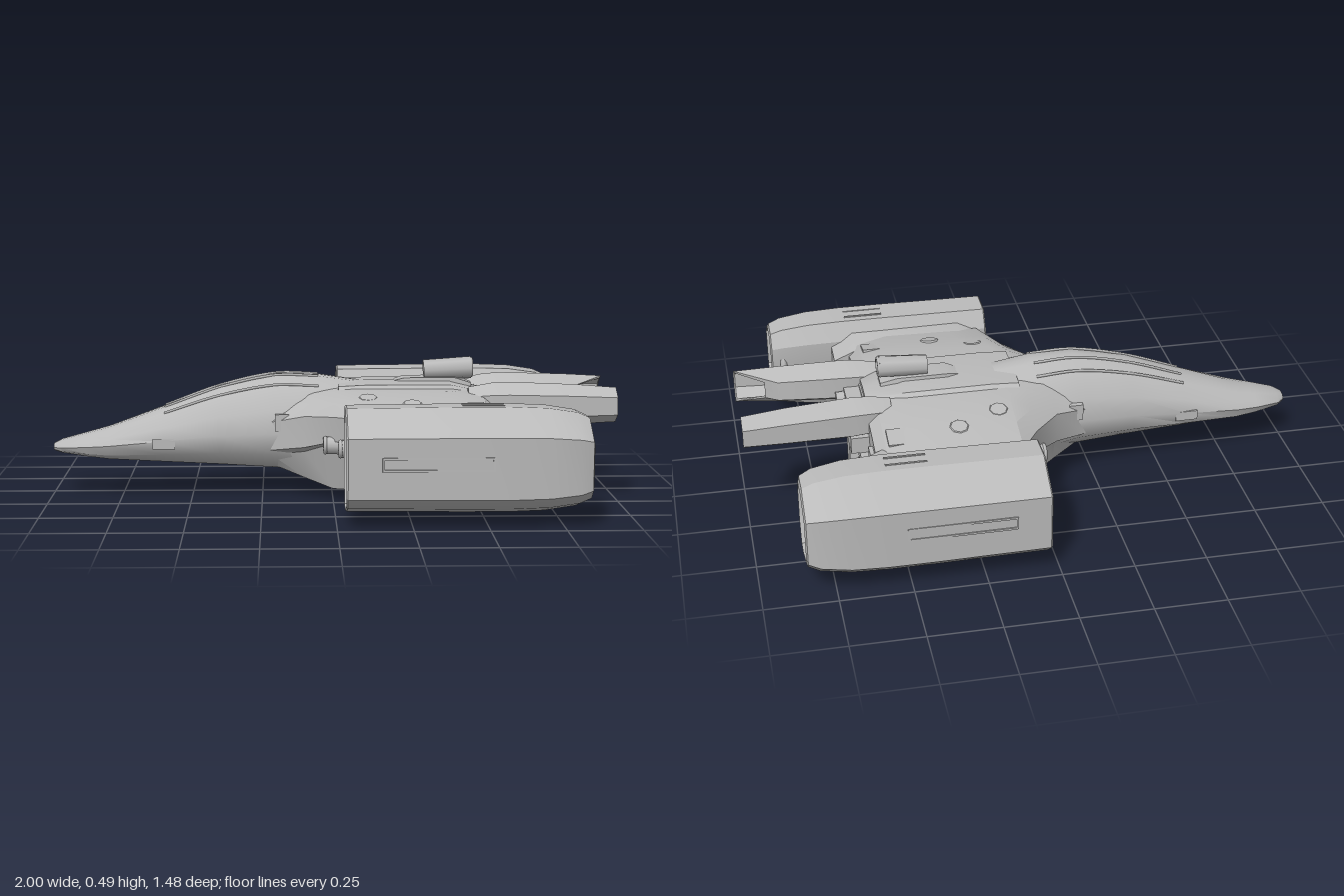
import * as THREE from 'three';
import { toCreasedNormals } from 'three/addons/utils/BufferGeometryUtils.js';

const hullGrey = new THREE.MeshStandardMaterial({ color: 0xbababa, side: THREE.DoubleSide });
hullGrey.name = 'hull grey';

// Skin rings of [x, y, z] points with closed ends; rings run bottom, +z, top, -z
function loft(rings, crease = 0.55) {
  const pos = [], n = rings[0].length;
  const tri = (...p) => p.forEach(v => pos.push(...v));
  for (let i = 0; i < rings.length - 1; i++) {
    for (let j = 0; j < n; j++) {
      const k = (j + 1) % n, a = rings[i], b = rings[i + 1];
      tri(a[j], b[j], a[k]);
      tri(b[j], b[k], a[k]);
    }
  }
  const middle = r => [0, 1, 2].map(c => r.reduce((s, p) => s + p[c], 0) / n);
  const first = rings[0], last = rings[rings.length - 1], m0 = middle(first), m1 = middle(last);
  for (let j = 0; j < n; j++) {
    const k = (j + 1) % n;
    tri(m0, first[j], first[k]);
    tri(m1, last[k], last[j]);
  }
  const g = new THREE.BufferGeometry();
  g.setAttribute('position', new THREE.Float32BufferAttribute(pos, 3));
  return toCreasedNormals(g, crease);
}

const flip = rings => rings.map(r => r.map(([x, y, z]) => [x, y, -z]).reverse());

// Half profile of [z, y] from bottom centre to top centre, mirrored to a full ring
function mirrored(x, half) {
  const side = half.map(([z, y]) => [x, y, z]);
  return [...side, ...side.slice(1, -1).reverse().map(([a, y, z]) => [a, y, -z])];
}

export function createModel() {
  const ship = new THREE.Group();
  ship.name = 'spaceship';
  const add = (name, geo, x = 0, y = 0, z = 0) => {
    const m = new THREE.Mesh(geo, hullGrey);
    m.name = name;
    m.position.set(x, y, z);
    ship.add(m);
    return m;
  };
  const box = (name, x, y, z, w, h, d) => add(name, new THREE.BoxGeometry(w, h, d), x, y, z);
  // Cylinder lying along x, r0 at the tail end and r1 at the nose end
  const rod = (name, x, y, z, r0, r1, len, sides = 14) =>
    add(name, new THREE.CylinderGeometry(r1, r0, len, sides).rotateZ(Math.PI / 2), x, y, z);
  const ring = (name, x, y, z, r, t) =>
    add(name, new THREE.TorusGeometry(r, t, 6, 20).rotateY(Math.PI / 2), x, y, z);

  // Fuselage: x, half width, bottom, widest height, top
  const stations = [
    [-1, 0.03, 0.153, 0.165, 0.178], [-0.97, 0.062, 0.145, 0.168, 0.192],
    [-0.88, 0.09, 0.132, 0.174, 0.216], [-0.8, 0.105, 0.122, 0.18, 0.238],
    [-0.6, 0.125, 0.11, 0.2, 0.312], [-0.4, 0.138, 0.098, 0.22, 0.385],
    [-0.2, 0.155, 0.085, 0.23, 0.428], [-0.05, 0.17, 0.06, 0.23, 0.424],
    [0.08, 0.15, 0.05, 0.23, 0.405], [0.3, 0.1, 0.05, 0.23, 0.38],
  ];
  add('fuselage', loft(stations.map(([x, w, b, m, t]) => mirrored(x, [
    [0, b], [0.5 * w, b + 0.04 * (t - b)], [0.88 * w, b + 0.2 * (t - b)], [w, m],
    [0.86 * w, m + 0.4 * (t - m)], [0.52 * w, m + 0.84 * (t - m)], [0.22 * w, t - 0.01 * (t - m)], [0, t],
  ])), 0.7));

  // Canopy frame rails following the hull, side ports
  for (const s of [-1, 1]) {
    for (const [u, v] of [[0.52, 0.84], [0.22, 0.99]]) {
      const pts = stations.slice(4, 8).map(([x, w, , m, t]) =>
        new THREE.Vector3(x, m + v * (t - m), s * u * w));
      add('canopyRail', new THREE.TubeGeometry(new THREE.CatmullRomCurve3(pts), 24, 0.005, 5));
    }
    box('nosePanel', -0.6, 0.19, s * 0.122, 0.08, 0.035, 0.008);
    box('sidePort', -0.18, 0.27, s * 0.15, 0.05, 0.06, 0.02);
  }

  // Centre body with swept wings: x, bottom, bottom half width, knee, edge, edge low, edge high, top
  const body = [
    [-0.22, 0.1, 0.07, 0.11, 0.14, 0.17, 0.27, 0.33], [-0.1, 0.06, 0.13, 0.17, 0.205, 0.19, 0.3, 0.37],
    [0, 0.03, 0.19, 0.24, 0.33, 0.23, 0.315, 0.385], [0.07, 0.03, 0.21, 0.27, 0.45, 0.24, 0.325, 0.39],
    [0.18, 0.03, 0.22, 0.28, 0.45, 0.19, 0.33, 0.39],
    [0.42, 0.03, 0.22, 0.28, 0.44, 0.19, 0.335, 0.39], [0.53, 0.045, 0.22, 0.28, 0.42, 0.19, 0.325, 0.37],
    [0.565, 0.06, 0.2, 0.27, 0.38, 0.2, 0.3, 0.345],
  ];
  add('wingBody', loft(body.map(([x, b, zb, zk, ze, lo, hi, t]) => mirrored(x, [
    [0, b], [zb, b + 0.01], [zk, lo - 0.02], [ze, lo], [ze, hi],
    [ze * 0.72, hi + 0.5 * (t - hi)], [ze * 0.42, t - 0.005], [0, t],
  ])), 0.45));
  add('dorsalFairing', loft([
    [0.02, 0.2, 0.4], [0.12, 0.2, 0.405], [0.42, 0.2, 0.405], [0.56, 0.12, 0.37],
  ].map(([x, w, t]) => mirrored(x, [[0, 0.3], [w, 0.33], [w * 0.6, t - 0.006], [0, t]]))));

  // Stern: slats, plates and pipe ends
  for (let i = 0; i < 4; i++) box('sternSlat', 0.565, 0.075 + i * 0.034, 0, 0.05, 0.014, 0.38 + i * 0.045);
  box('sternBeam', 0.57, 0.2, 0, 0.06, 0.035, 0.56);
  box('sternBlock', 0.59, 0.28, 0, 0.06, 0.11, 0.2);

  // Nacelle outline of [z, y], scaled about its centre
  const outline = [[0.5, 0.038], [0.57, 0.03], [0.69, 0.062], [0.735, 0.1], [0.738, 0.305],
    [0.6, 0.388], [0.49, 0.385], [0.452, 0.32], [0.452, 0.14]];
  const nacelle = [[0.07, 0.88], [0.07, 0.94], [0.03, 0.95], [0.035, 0.98], [0.25, 0.99], [0.42, 1], [0.58, 1],
    [0.7, 0.975], [0.8, 0.89], [0.84, 0.79], [0.845, 0.68], [0.74, 0.6]].map(([x, s]) =>
    outline.map(([z, y]) => [x, 0.21 + (y - 0.21) * s, 0.58 + (z - 0.58) * s]));

  // Rear booster tube: hexagon splaying outward, hollow, cut back on its inner side
  const hexRing = (x, zc, s, slant) => Array.from({ length: 6 }, (_, i) => {
    const a = (i / 6) * Math.PI * 2 - Math.PI / 2, c = Math.cos(a);
    return [x - slant * Math.max(0, -c), 0.333 + Math.sin(a) * 0.075 * s, zc + c * 0.07 * s];
  });
  const booster = [hexRing(0.48, 0.13, 0.8, 0), hexRing(0.56, 0.135, 1, 0), hexRing(0.62, 0.138, 1.05, 0),
    hexRing(0.85, 0.152, 0.95, 0), hexRing(1, 0.165, 0.82, 0.12), hexRing(0.995, 0.165, 0.7, 0.12),
    hexRing(0.8, 0.15, 0.68, 0)];

  for (const s of [-1, 1]) {
    add('engineNacelle', loft(s > 0 ? nacelle : flip(nacelle), 0.5));
    ring('nozzleRing', 0.8, 0.21, s * 0.565, 0.1, 0.014);
    ring('nozzleInnerRing', 0.77, 0.21, s * 0.565, 0.068, 0.012);
    rod('nozzleHub', 0.76, 0.21, s * 0.565, 0.035, 0.055, 0.08);

    // Nacelle slot frames
    for (const y of [0.198, 0.238]) box('sideSlotRail', 0.33, y, s * 0.735, 0.36, 0.007, 0.009);
    for (const x of [0.15, 0.51]) box('sideSlotEnd', x, 0.218, s * 0.735, 0.007, 0.045, 0.009);
    for (const z of [0.52, 0.565]) box('topSlotRail', 0.49, 0.385, s * z, 0.14, 0.009, 0.007);

    // Pylon joining the wing to the nacelle
    const pylon = [[0.06, 0.7], [0.14, 1], [0.54, 1], [0.62, 0.6]].map(([x, k]) =>
      [[0.36, 0.19], [0.47, 0.12], [0.47, 0.345], [0.36, 0.325]]
        .map(([z, y]) => [x, 0.24 + (y - 0.24) * k, z]));
    add('pylon', loft(s > 0 ? pylon : flip(pylon)));
    box('pylonBrace', 0.59, 0.27, s * 0.42, 0.06, 0.04, 0.1);

    // Wing root guns under the leading edge
    for (const [x, z] of [[0.09, 0.39], [0.04, 0.31]]) {
      rod('wingGun', x, 0.215, s * z, 0.035, 0.03, 0.14);
      ring('gunMuzzle', x - 0.07, 0.215, s * z, 0.025, 0.008);
    }

    // Low wing bosses and panels
    for (const [x, y, z] of [[0.12, 0.363, 0.25], [0.27, 0.352, 0.32]]) {
      add('wingBoss', new THREE.CylinderGeometry(0.03, 0.055, 0.025, 8).rotateX(s * 0.25), x, y, s * z);
    }
    const panel = box('wingPanel', 0.47, 0.345, s * 0.33, 0.1, 0.015, 0.08);
    panel.rotation.x = s * 0.22;

    // Boosters and stern pipes
    add('booster', loft(s > 0 ? booster : flip(booster), 0.6));
    rod('boosterCore', 0.82, 0.333, s * 0.15, 0.022, 0.035, 0.08);
    rod('sternPipe', 0.6, 0.3, s * 0.06, 0.024, 0.03, 0.1);
    box('sternPanel', 0.56, 0.265, s * 0.32, 0.04, 0.05, 0.09);
    box('boosterMount', 0.58, 0.25, s * 0.15, 0.1, 0.06, 0.09);
  }

  // Dorsal turret
  add('turretBase', loft([[0.21, 0.03, 0.4], [0.26, 0.05, 0.415], [0.44, 0.05, 0.415], [0.5, 0.035, 0.395]]
    .map(([x, w, t]) => mirrored(x, [[0, 0.36], [w, 0.37], [w * 0.85, t], [0, t]]))));
  const gun = rod('turretGun', 0.415, 0.443, 0, 0.04, 0.036, 0.17, 8);
  gun.rotation.z = 0.05;
  ring('turretMuzzle', 0.5, 0.447, 0, 0.03, 0.008);

  // Belly gun in a housing that passes the stern slats
  add('bellyHousing', loft([[0.36, 0.8], [0.42, 1], [0.58, 1], [0.62, 0.85]].map(([x, k]) =>
    mirrored(x, [[0, 0.045], [0.045 * k, 0.05], [0.05 * k, 0.13], [0.035 * k, 0.165], [0, 0.17]]))));
  rod('bellyGun', 0.41, 0.045, 0, 0.045, 0.032, 0.29, 10);
  ring('bellyMuzzle', 0.555, 0.045, 0, 0.034, 0.01);

  return ship;
}
